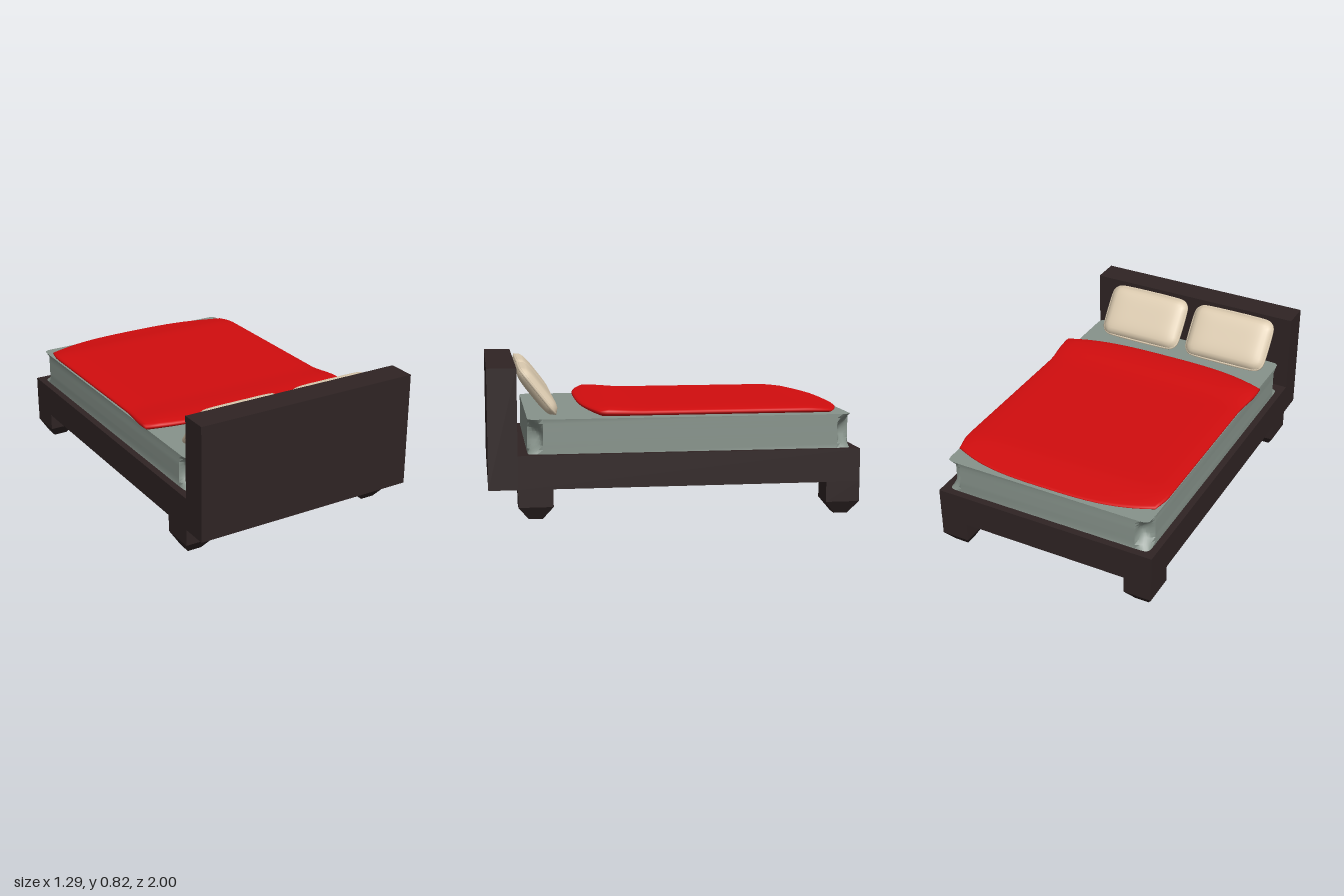
import * as THREE from 'three';
import { mergeVertices, toCreasedNormals } from 'three/addons/utils/BufferGeometryUtils.js';

const mat = (name, color) => {
  const m = new THREE.MeshStandardMaterial({ color });
  m.name = name;
  return m;
};

// Move every vertex of a geometry by a rule, then shade it smooth or flat.
function reshape(geo, rule, smooth) {
  const p = geo.attributes.position;
  for (let i = 0; i < p.count; i++) p.setXYZ(i, ...rule(p.getX(i), p.getY(i), p.getZ(i)));
  if (smooth) {
    geo.deleteAttribute('normal');
    geo.deleteAttribute('uv');
    geo = mergeVertices(geo, 1e-5);
  }
  geo.computeVertexNormals();
  return geo;
}

// Mattress: outline lofted upward, its corners pinched at mid height.
function mattressGeometry() {
  const X = 0.605, z0 = -0.96, z1 = 0.79, y0 = 0.36, y1 = 0.545, c = 0.08, rows = 8, steps = 6;
  const corners = [[X, z1, 1, 1], [X, z0, 1, -1], [-X, z0, -1, -1], [-X, z1, -1, 1]];
  const pos = [], idx = [], n = 4 * (steps + 1);
  for (let r = 0; r <= rows; r++) {
    const t = r / rows, pinch = Math.sin(Math.PI * t) * 0.07;
    corners.forEach(([x, z, sx, sz], k) => {
      const a = [x - sx * c, z], b = [x, z - sz * c];
      const [s, e] = k % 2 ? [b, a] : [a, b];
      const q = [x - sx * pinch, z - sz * pinch];
      for (let i = 0; i <= steps; i++) {
        const u = i / steps, w = [(1 - u) ** 3, 3 * u * (1 - u), u ** 3];
        pos.push(w[0] * s[0] + w[1] * q[0] + w[2] * e[0], y0 + t * (y1 - y0),
          w[0] * s[1] + w[1] * q[1] + w[2] * e[1]);
      }
    });
  }
  for (let r = 0; r < rows; r++) for (let i = 0; i < n; i++) {
    const a = r * n + i, b = r * n + (i + 1) % n;
    idx.push(a, b, b + n, a, b + n, a + n);
  }
  // flat caps
  const ring = (r) => Array.from({ length: n }, (_, i) => (r * n + i) * 3)
    .map((k) => new THREE.Vector2(pos[k], pos[k + 2]));
  for (const r of [0, rows])
    for (const [a, b, d] of THREE.ShapeUtils.triangulateShape(ring(r), [])) {
      const P = ring(r), area = (P[b].x - P[a].x) * (P[d].y - P[a].y) - (P[b].y - P[a].y) * (P[d].x - P[a].x);
      const o = r * n, up = area < 0;
      idx.push(o + a, ...(up === (r === rows) ? [o + b, o + d] : [o + d, o + b]));
    }
  const g = new THREE.BufferGeometry();
  g.setAttribute('position', new THREE.Float32BufferAttribute(pos, 3));
  g.setIndex(idx);
  return toCreasedNormals(g, 0.5);
}

// Blanket: soft slab with bowed ends and a raised fold towards the headboard.
function blanketGeometry() {
  const S = THREE.MathUtils.smoothstep;
  return reshape(new THREE.BoxGeometry(2, 2, 2, 20, 4, 32), (u, t, v) => {
    const inset = 1 - 0.022 * t * t;
    const bow = 0.1 * Math.abs(u) ** 3;
    const za = -0.955 + bow, zb = 0.5 - bow * 0.85;
    const z = (za + zb) / 2 + v * inset * (zb - za) / 2;
    const half = 0.615 + 0.022 * S(z, 0.15, 0.36) - 0.03 * S(-z, 0.74, 0.9);
    const top = 0.59 + 0.015 * S(z, 0.15, 0.4) - 0.02 * S(-z, 0.7, 0.95);
    const bottom = 0.55 + 0.016 * S(z, 0.36, 0.5);
    const rim = Math.max(Math.abs(u), Math.abs(v)) ** 12;
    const y = (top + bottom) / 2 + t * (top - bottom) / 2 * (1 - 0.35 * rim);
    return [u * inset * half, y, z];
  }, true);
}

// Pillow: rounded rectangle, thick in the middle and thin at its seam.
const PW = 0.25, PH = 0.152, PR = 0.055;
function pillowGeometry() {
  return reshape(new THREE.BoxGeometry(2, 2, 2, 24, 18, 2), (u, v, t) => {
    let x = u * PW, y = v * PH;
    const dx = Math.max(0, Math.abs(x) - PW + PR), dy = Math.max(0, Math.abs(y) - PH + PR);
    if (dx && dy) { // round the corner
      const k = Math.max(dx, dy) / Math.hypot(dx, dy);
      x = Math.sign(x) * (PW - PR + dx * k);
      y = Math.sign(y) * (PH - PR + dy * k);
    }
    const puff = Math.sqrt((1 - u ** 6) * (1 - v ** 4));
    return [x, y, t * (0.01 + 0.033 * puff)];
  }, true);
}

function pipingGeometry() {
  const pts = [];
  for (let k = 0; k < 4; k++) {
    const sx = k === 0 || k === 3 ? 1 : -1, sy = k < 2 ? 1 : -1;
    for (let i = 0; i <= 4; i++) {
      const a = (k + i / 4) * Math.PI / 2;
      pts.push(new THREE.Vector3(sx * (PW - PR) + PR * Math.cos(a), sy * (PH - PR) + PR * Math.sin(a), 0));
    }
  }
  return new THREE.TubeGeometry(new THREE.CatmullRomCurve3(pts, true, 'centripetal'), 80, 0.008, 6, true);
}

export function createModel() {
  const bed = new THREE.Group();
  bed.name = 'bed';
  const wood = mat('darkWood', 0x2f2424), grey = mat('mattressGrey', 0x87938b);
  const red = mat('blanketRed', 0xd20d0e), cream = mat('pillowCream', 0xdccbb0);
  const add = (name, geo, m, x = 0, y = 0, z = 0, parent = bed) => {
    const mesh = new THREE.Mesh(geo, m);
    mesh.name = name;
    mesh.position.set(x, y, z);
    parent.add(mesh);
    return mesh;
  };

  // Frame
  add('headboard', new THREE.BoxGeometry(1.286, 0.64, 0.155), wood, 0, 0.5, 0.9225);
  add('bedBase', new THREE.BoxGeometry(1.286, 0.18, 1.845), wood, 0, 0.27, -0.0775);

  // Legs: square block over a tapered foot; one leg is slightly longer
  const foot = reshape(new THREE.BoxGeometry(0.16, 0.07, 0.185),
    (x, y, z) => (y < 0 ? [x * 0.5, y, z * 0.4] : [x, y, z]), false);
  for (const sx of [-1, 1]) for (const z of [0.7525, -0.9075]) {
    const low = sx > 0 && z < 0 ? 0 : 0.015;
    const leg = new THREE.Group();
    leg.name = z > 0 ? 'headLeg' : 'footLeg';
    leg.position.set(sx * 0.562, low, z);
    const h = 0.18 - low - 0.07;
    add('legBlock', new THREE.BoxGeometry(0.16, h, 0.185), wood, 0, 0.07 + h / 2, 0, leg);
    add('legFoot', foot, wood, 0, 0.035, 0, leg);
    bed.add(leg);
  }

  // Bedding
  add('mattress', mattressGeometry(), grey);
  add('blanket', blanketGeometry(), red);

  // Pillows leaning on the headboard
  const cushion = pillowGeometry(), piping = pipingGeometry();
  for (const x of [-0.3, 0.262]) {
    const pillow = new THREE.Group();
    pillow.name = 'pillow';
    pillow.position.set(x, 0.677, 0.728);
    pillow.rotation.x = 0.66;
    add('pillowCushion', cushion, cream, 0, 0, 0, pillow);
    add('pillowPiping', piping, cream, 0, 0, 0, pillow);
    bed.add(pillow);
  }
  return bed;
}
